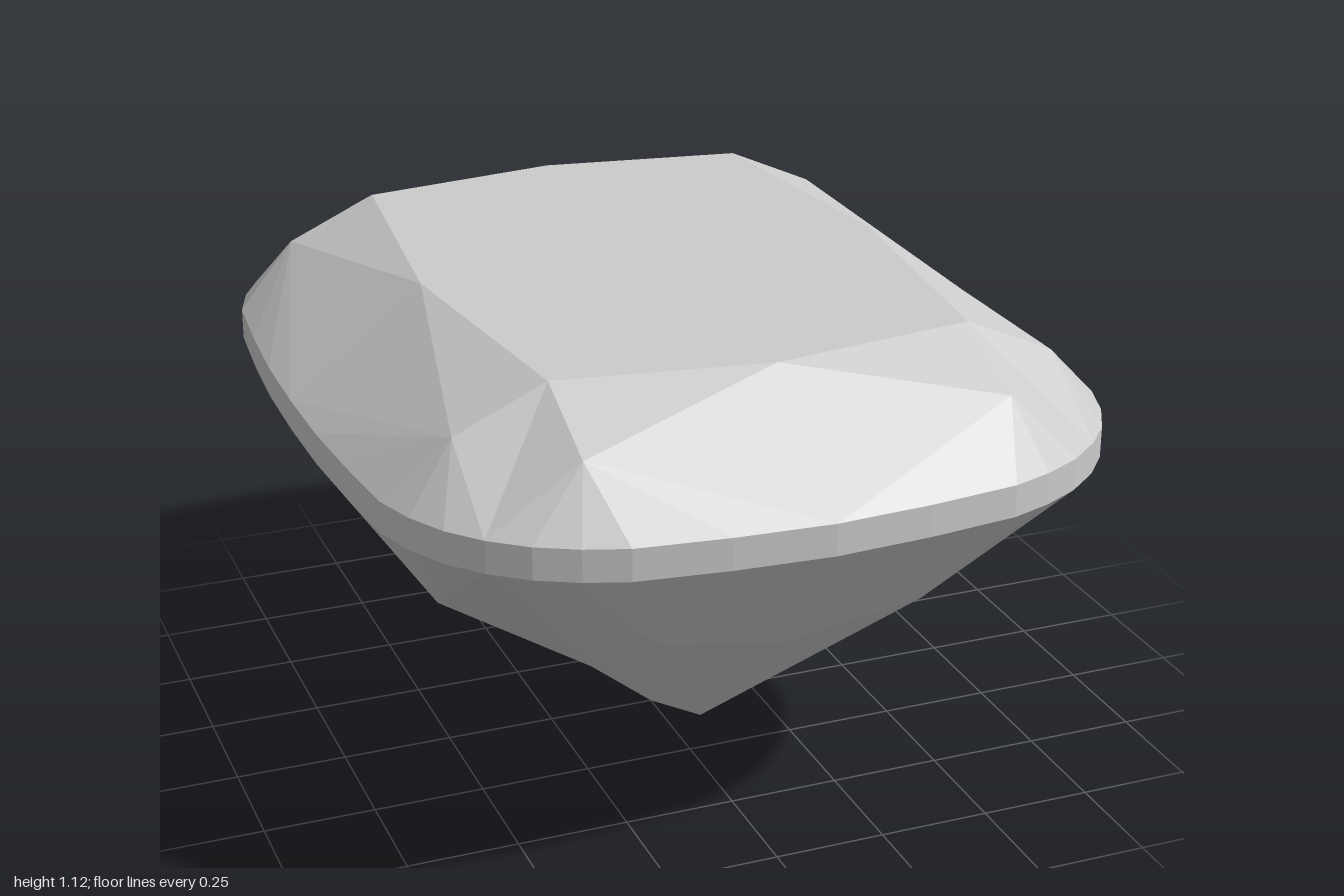
import * as THREE from 'three';

const material = new THREE.MeshStandardMaterial({ color: 0xcccccc, flatShading: true });
const inside = new THREE.Vector3(0, 0.7, 0);
const v = (x, y, z) => new THREE.Vector3(x, y, z);

// Mirrors the facets of one quarter (+x, +z) into all four, each facing outward
function facetMesh(name, facets) {
  const positions = [];
  for (const sx of [1, -1]) for (const sz of [1, -1]) {
    for (const facet of facets) {
      const [a, b, c] = facet.map((p) => v(p.x * sx, p.y, p.z * sz));
      const normal = b.clone().sub(a).cross(c.clone().sub(a));
      const outward = normal.dot(a.clone().sub(inside)) > 0;
      for (const p of outward ? [a, b, c] : [a, c, b]) positions.push(p.x, p.y, p.z);
    }
  }
  const geometry = new THREE.BufferGeometry();
  geometry.setAttribute('position', new THREE.Float32BufferAttribute(positions, 3));
  geometry.computeVertexNormals();
  const mesh = new THREE.Mesh(geometry, material);
  mesh.name = name;
  return mesh;
}

// Triangles joining one point to each segment of an edge
const fan = (apex, edge) => edge.slice(1).map((p, i) => [apex, edge[i], p]);

export function createModel() {
  // Quarter of the cushion outline as x, z, from front middle to side middle
  const outline = [
    [0, 1], [0.21, 0.987], [0.41, 0.963], [0.5, 0.932], [0.585, 0.888], [0.66, 0.828],
    [0.72, 0.758], [0.765, 0.675], [0.797, 0.58], [0.815, 0.39], [0.827, 0.2], [0.83, 0],
  ];
  const upper = outline.map(([x, z]) => v(x, 0.895, z));
  const lower = outline.map(([x, z]) => v(x, 0.825, z));
  const corner = 5, last = outline.length - 1;

  // Flat table on top
  const tableY = 1.12;
  const tableFront = v(0, tableY, 0.7), tableCorner = v(0.46, tableY, 0.63), tableSide = v(0.53, tableY, 0);
  const table = fan(v(0, tableY, 0), [tableFront, tableCorner, tableSide]);

  // Crown: star, main and girdle facets
  const crownFront = v(0.46, 1.03, 0.83), crownSide = v(0.66, 1.03, 0.63);
  const crown = [
    [tableFront, tableCorner, crownFront],
    [tableCorner, crownSide, tableSide],
    ...fan(tableCorner, [crownFront, upper[corner], crownSide]),
    [tableFront, crownFront, upper[0]],
    [tableSide, crownSide, upper[last]],
    ...fan(crownFront, upper.slice(0, corner + 1)),
    ...fan(crownSide, upper.slice(corner)),
  ];

  // Girdle band
  const girdle = [];
  for (let i = 0; i < last; i++) {
    girdle.push([upper[i], lower[i], lower[i + 1]], [upper[i], lower[i + 1], upper[i + 1]]);
  }

  // Pavilion: corner kite from the tip, then matching facets for front and side
  const tip = v(0, 0, 0), keelFront = v(0, 0.12, 0.31), keelSide = v(0.15, 0.12, 0);
  const pavilion = [[tip, keelFront, keelSide], [keelFront, keelSide, lower[corner]]];
  const faces = [
    [keelFront, v(0, 0.51, 0.74), v(0.29, 0.59, 0.8), lower.slice(0, corner + 1)],
    [keelSide, v(0.59, 0.51, 0), v(0.65, 0.59, 0.46), lower.slice(corner).reverse()],
  ];
  for (const [keel, middle, shoulder, edge] of faces) {
    pavilion.push(
      [keel, middle, shoulder],
      [keel, shoulder, lower[corner]],
      [middle, shoulder, edge[0]],
      ...fan(shoulder, edge),
    );
  }

  const gem = new THREE.Group();
  gem.name = 'cushionCutGem';
  gem.add(
    facetMesh('table', table),
    facetMesh('crown', crown),
    facetMesh('girdle', girdle),
    facetMesh('pavilion', pavilion),
  );
  return gem;
}
